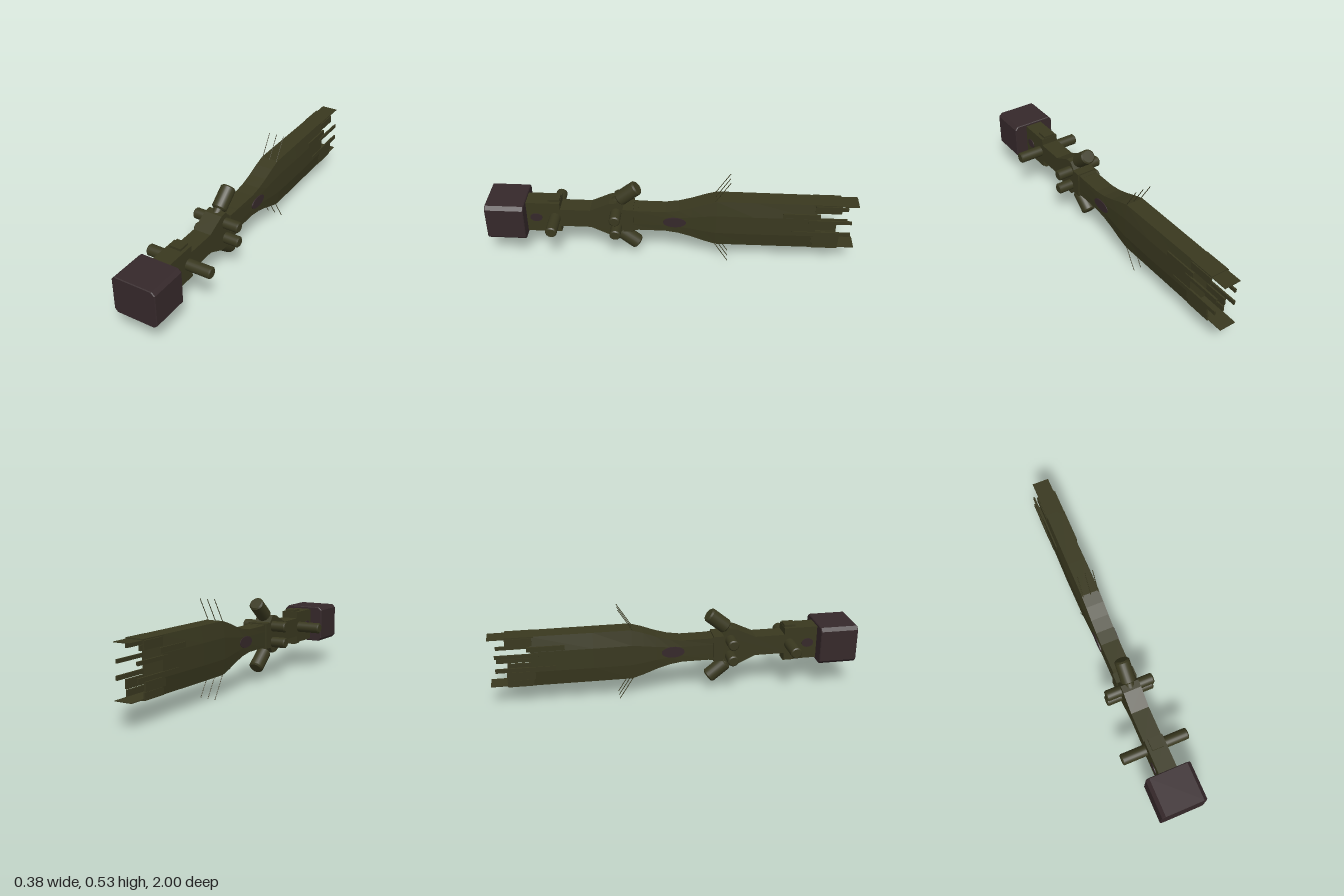
import * as THREE from 'three';

const CY = 0.265; // height of the long axis

export function createModel() {
  const group = new THREE.Group();
  const olive = new THREE.MeshStandardMaterial({ color: 0x39381f });
  olive.name = 'olive hull';
  const maroon = new THREE.MeshStandardMaterial({ color: 0x35282a });
  maroon.name = 'dark maroon';

  const add = (name, geo, mat, x = 0, y = CY, z = 0) => {
    const m = new THREE.Mesh(geo, mat);
    m.name = name;
    m.position.set(x, y, z);
    group.add(m);
    return m;
  };
  // box spanning z0..z1 and y0..y1, centred on x
  const block = (name, w, y0, y1, z0, z1, x = 0, mat = olive) =>
    add(name, new THREE.BoxGeometry(w, y1 - y0, z1 - z0), mat, x, (y0 + y1) / 2, (z0 + z1) / 2);

  // cylinder with chamfered rims, running from -len/2 to len/2 on y
  const drum = (r, len, c = 0.006) => new THREE.LatheGeometry(
    [[0, -len / 2], [r - c, -len / 2], [r - c, -len / 2], [r, -len / 2 + c], [r, -len / 2 + c],
      [r, len / 2 - c], [r, len / 2 - c], [r - c, len / 2], [r - c, len / 2], [0, len / 2]]
      .map(([a, b]) => new THREE.Vector2(a, b)), 24);

  // Head block: box with cut corners
  const w = 0.124, h = 0.106, c = 0.017, b = 0.004;
  const head = new THREE.Shape([[-w + c, -h], [w - c, -h], [w, -h + c], [w, h - c],
    [w - c, h], [-w + c, h], [-w, h - c], [-w, -h + c]]
    .map(([x, y]) => new THREE.Vector2(x * 0.97, y * 0.965)));
  add('headBlock', new THREE.ExtrudeGeometry(head, {
    depth: 0.21 - 2 * b, bevelThickness: b, bevelSize: b, bevelSegments: 1,
  }), maroon, 0, CY, 0.79 + b);

  // Neck and collar
  block('neck', 0.1, CY - 0.093, CY + 0.093, 0.605, 0.8);
  block('collar', 0.064, CY - 0.106, CY + 0.106, 0.607, 0.67);

  // Forward hull: side outline extruded across x
  const upper = [[0.62, 0.055], [0.44, 0.055], [0.335, 0.105], [0.295, 0.109], [0.262, 0.068], [0.18, 0.064]];
  const outline = new THREE.Shape([...upper, ...upper.map(([z, y]) => [z, -y]).reverse()]
    .map(([z, y]) => new THREE.Vector2(-z, y)));
  const hull = new THREE.ExtrudeGeometry(outline, { depth: 0.1, bevelEnabled: false });
  hull.translate(0, 0, -0.05).rotateY(Math.PI / 2);
  add('forwardHull', hull, olive);
  block('waistBand', 0.116, CY - 0.073, CY + 0.073, 0.205, 0.26);

  // Rear hull: eight-sided sections lofted along z [z, half height, top half width, mid half width]
  const sections = [[0.22, 0.063, 0.05, 0.05], [0.03, 0.063, 0.05, 0.052], [-0.04, 0.074, 0.05, 0.054],
    [-0.11, 0.095, 0.05, 0.057], [-0.18, 0.122, 0.05, 0.06], [-0.245, 0.142, 0.05, 0.062],
    [-0.45, 0.142, 0.049, 0.064], [-0.78, 0.142, 0.047, 0.06]];
  const pos = [], idx = [];
  for (const [z, hh, wt, wm] of sections) {
    const q = [[wm, -0.4 * hh], [wm, 0.4 * hh], [wt, hh], [-wt, hh],
      [-wm, 0.4 * hh], [-wm, -0.4 * hh], [-wt, -hh], [wt, -hh]];
    for (const [x, y] of q) pos.push(x, y, z);
  }
  for (let s = 0; s < sections.length - 1; s++) {
    for (let i = 0; i < 8; i++) {
      const a = s * 8 + i, d = s * 8 + (i + 1) % 8;
      idx.push(a, d, a + 8, d, d + 8, a + 8);
    }
  }
  const last = (sections.length - 1) * 8;
  for (let i = 1; i < 7; i++) {
    idx.push(0, i + 1, i);
    idx.push(last, last + i, last + i + 1);
  }
  // Wind the skin outward
  for (let i = 0; i < idx.length; i += 3) {
    const p = [0, 1, 2].map((k) => new THREE.Vector3().fromArray(pos, idx[i + k] * 3));
    const n = p[1].clone().sub(p[0]).cross(p[2].clone().sub(p[0]));
    const mid = p[0].clone().add(p[1]).add(p[2]).divideScalar(3);
    const end = Math.abs(n.z) > 0.99 * n.length();
    const out = end ? n.z * (mid.z + 0.2) : n.x * mid.x + n.y * mid.y;
    if (out < 0) [idx[i + 1], idx[i + 2]] = [idx[i + 2], idx[i + 1]];
  }
  let loft = new THREE.BufferGeometry();
  loft.setAttribute('position', new THREE.Float32BufferAttribute(pos, 3));
  loft.setIndex(idx);
  loft = loft.toNonIndexed();
  loft.computeVertexNormals();
  add('rearHull', loft, olive);

  for (const s of [1, -1]) {
    const left = s > 0 ? 'left' : 'right';
    // Side cannons and paired pods
    add(left + 'SideBarrel', drum(0.031, 0.15), olive, s * 0.113, CY, 0.635).rotation.z = Math.PI / 2;
    for (const v of [1, -1]) {
      add(left + 'Pod', drum(0.03, 0.095), olive, s * 0.0875, CY + v * 0.046, 0.299).rotation.z = Math.PI / 2;
    }
    // Oval ports
    for (const [z, rz, ry, x] of [[-0.02, 0.062, 0.031, 0.0555], [0.738, 0.033, 0.025, 0.0515]]) {
      const port = add(left + 'OvalPort', new THREE.CylinderGeometry(1, 1, 0.006, 28), maroon, s * x, CY, z);
      port.rotation.z = Math.PI / 2;
      port.scale.set(ry, 1, rz);
    }
    // Tail side slats and long rods
    for (const [y0, y1, z0, z1, x] of [[0.357, 0.4, -0.91, -0.77, 0.05], [0.325, 0.352, -0.8, -0.6, 0.059],
      [0.295, 0.314, -0.968, -0.74, 0.059], [0.216, 0.238, -0.968, -0.655, 0.06],
      [0.166, 0.212, -0.91, -0.76, 0.055], [0.13, 0.163, -0.91, -0.77, 0.05]]) {
      block(left + 'TailSlat', 0.01, y0, y1, z0, z1, s * x);
    }
  }

  for (const v of [1, -1]) {
    const side = v > 0 ? 'upper' : 'lower';
    // Tail plates above and below
    block(side + 'TailCap', 0.1, CY + v * 0.139 - 0.003, CY + v * 0.139 + 0.003, -0.91, -0.76);
    block(side + 'TailPlate', 0.094, CY + v * 0.134 - 0.002, CY + v * 0.134 + 0.002, -1, -0.76);
    // Angled thruster on a short stalk
    const arm = new THREE.Group();
    arm.name = side + 'Thruster';
    arm.position.set(0, CY + v * 0.146, 0.235);
    arm.rotation.x = v > 0 ? -0.89 : -Math.PI + 0.89;
    const can = new THREE.Mesh(drum(0.041, 0.13, 0.008), olive);
    can.name = 'thrusterCan';
    const stalk = new THREE.Mesh(new THREE.CylinderGeometry(0.026, 0.026, 0.08, 20), olive);
    stalk.name = 'thrusterStalk';
    stalk.position.y = -0.09;
    arm.add(can, stalk);
    group.add(arm);
    // Three swept antennae
    for (const x of [-0.044, 0, 0.044]) {
      const curve = new THREE.LineCurve3(new THREE.Vector3(x, v * 0.135, -0.235), new THREE.Vector3(x, v * 0.262, -0.315));
      add(side + 'Antenna', new THREE.TubeGeometry(curve, 1, 0.002, 6), olive);
    }
  }
  return group;
}
